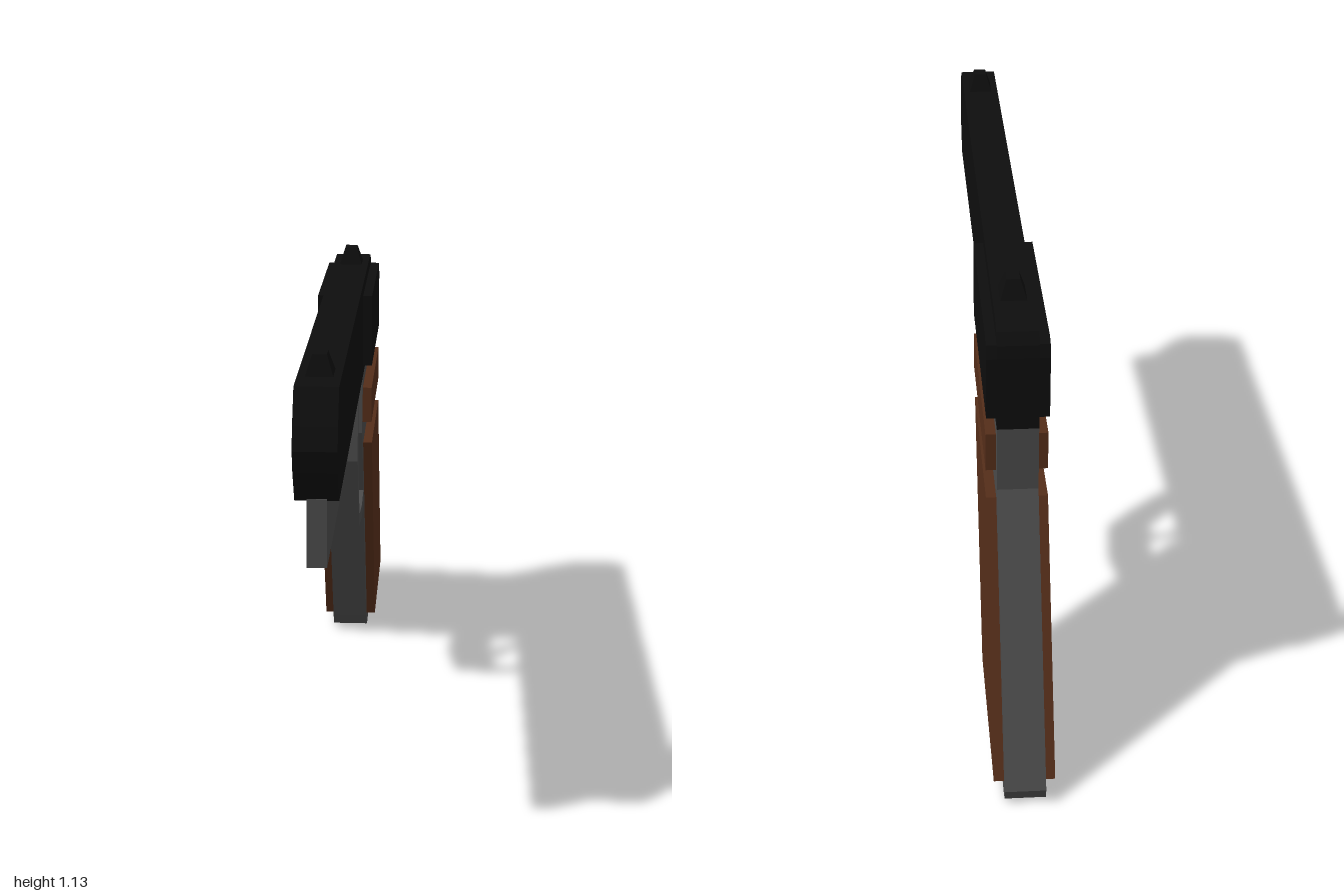
import * as THREE from 'three';

const steel = new THREE.MeshStandardMaterial({ color: 0x4a4a4a, flatShading: true });
const black = new THREE.MeshStandardMaterial({ color: 0x0d0d0d, flatShading: true });
const wood = new THREE.MeshStandardMaterial({ color: 0x542d19, flatShading: true });

const HALF = 0.048;   // half width of the slide and frame
const OUTER = 0.072;  // half width across the raised panels
const NARROW = 0.022; // half width of the rail and trigger

// Side profile given as [z, y] points, extruded across x.
function profile(name, points, halfWidth, material) {
  const shape = new THREE.Shape(points.map(([z, y]) => new THREE.Vector2(z, y)));
  const geometry = new THREE.ExtrudeGeometry(shape, { depth: halfWidth * 2, bevelEnabled: false });
  geometry.translate(0, 0, -halfWidth);
  geometry.rotateY(-Math.PI / 2);
  const mesh = new THREE.Mesh(geometry, material);
  mesh.name = name;
  return mesh;
}

// Raised panel on each side of the body.
function sidePanels(name, points, material) {
  const group = new THREE.Group();
  group.name = name;
  const half = (OUTER - HALF + 0.004) / 2;
  for (const side of [1, -1]) {
    const panel = profile(side > 0 ? name + 'Left' : name + 'Right', points, half, material);
    panel.position.x = side * (OUTER - half);
    group.add(panel);
  }
  return group;
}

// Small tapered block on top of the slide.
function sight(name, z) {
  const geometry = new THREE.CylinderGeometry(0.5 * Math.SQRT1_2, Math.SQRT1_2, 0.05, 4);
  geometry.rotateY(Math.PI / 4);
  geometry.scale(0.064, 1, 0.082);
  const mesh = new THREE.Mesh(geometry, black);
  mesh.name = name;
  mesh.position.set(0, 1.11, z);
  return mesh;
}

export function createModel() {
  const model = new THREE.Group();
  model.name = 'pistol';

  // Slide with faceted nose and rounded rear corner
  model.add(profile('slide', [
    [0.94, 0.84], [0.985, 0.915], [1, 0.965], [0.985, 1.015], [0.94, 1.09],
    [-0.64, 1.09], [-0.675, 1.075], [-0.695, 1.05], [-0.7, 1.02], [-0.7, 0.84],
  ], HALF, black));
  model.add(sidePanels('slideGrip', [
    [-0.18, 0.87], [-0.18, 1.06], [-0.67, 1.06], [-0.69, 1.05], [-0.7, 1.02], [-0.7, 0.87],
  ], black));
  model.add(sight('frontSight', 0.815), sight('rearSight', -0.515));

  // Narrow rail below the slide
  model.add(profile('rail', [
    [0.945, 0.69], [0.945, 0.845], [-0.16, 0.845], [-0.16, 0.69],
  ], NARROW, steel));

  // Frame and slanted grip
  model.add(profile('gripFrame', [
    [-0.15, 0.84], [-0.15, 0.69], [-0.45, 0.05], [-0.475, 0.015], [-0.52, 0],
    [-0.965, 0], [-0.99, 0.012], [-1, 0.04], [-0.7, 0.68], [-0.7, 0.84],
  ], HALF, steel));

  // Trigger guard and trigger
  model.add(profile('triggerGuard', [
    [0.107, 0.84], [0.107, 0.685], [0.064, 0.578], [0.012, 0.48], [-0.14, 0.455], [-0.255, 0.472],
    [-0.24, 0.502], [-0.14, 0.488], [-0.005, 0.507], [0.03, 0.578], [0.075, 0.685], [0.075, 0.84],
  ], HALF, steel));
  model.add(profile('trigger', [
    [-0.088, 0.7], [-0.086, 0.605], [-0.058, 0.555], [-0.068, 0.555], [-0.1, 0.59], [-0.115, 0.7],
  ], NARROW, steel));

  // Wooden panels
  model.add(sidePanels('upperPanel', [
    [-0.175, 0.715], [-0.175, 0.81], [-0.67, 0.81], [-0.67, 0.715],
  ], wood));
  model.add(sidePanels('gripPanel', [
    [-0.21, 0.647], [-0.68, 0.647], [-0.963, 0.042], [-0.495, 0.042],
  ], wood));

  return model;
}
